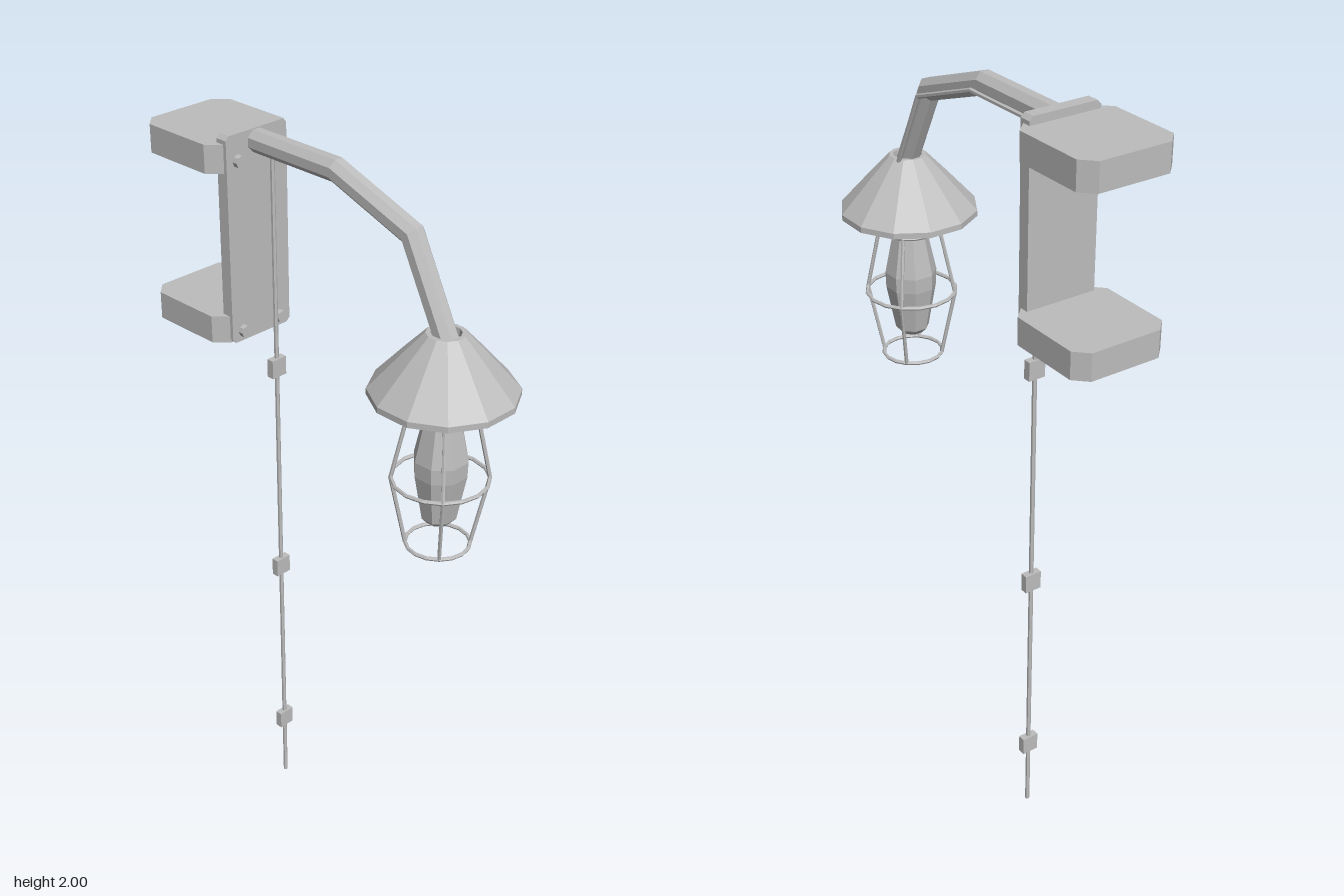
import * as THREE from 'three';

const metal = new THREE.MeshStandardMaterial({ color: 0xbcbcbc });
metal.name = 'plain grey';
metal.flatShading = true;
metal.side = THREE.DoubleSide;

function add(parent, geometry, name, x = 0, y = 0, z = 0) {
  const mesh = new THREE.Mesh(geometry, metal);
  mesh.name = name;
  mesh.position.set(x, y, z);
  parent.add(mesh);
  return mesh;
}

// Sweeps a regular polygon along a bent path of [z, y] points, with mitred corners
function sweep(path, radius, sides) {
  const pts = path.map(([z, y]) => new THREE.Vector2(z, y));
  const pos = [], index = [];
  pts.forEach((p, i) => {
    const a = p.clone().sub(pts[Math.max(i - 1, 0)]).normalize();
    const b = pts[Math.min(i + 1, pts.length - 1)].clone().sub(p).normalize();
    const dir = a.clone().add(b).normalize();
    const mitre = 1 / Math.max(dir.dot(i ? a : b), 0.5);
    for (let k = 0; k < sides; k++) {
      const t = ((k + 0.5) / sides) * Math.PI * 2;
      const across = Math.sin(t) * radius * mitre;
      pos.push(Math.cos(t) * radius, p.y + dir.x * across, p.x - dir.y * across);
    }
  });
  for (let i = 0; i < pts.length - 1; i++) {
    for (let k = 0; k < sides; k++) {
      const a = i * sides + k, b = i * sides + (k + 1) % sides;
      index.push(a, a + sides, b, b, a + sides, b + sides);
    }
  }
  // end caps
  const last = (pts.length - 1) * sides;
  for (let k = 1; k < sides - 1; k++) {
    index.push(0, k, k + 1, last, last + k + 1, last + k);
  }
  const g = new THREE.BufferGeometry();
  g.setAttribute('position', new THREE.Float32BufferAttribute(pos, 3));
  g.setIndex(index);
  g.computeVertexNormals();
  return g;
}

// Rectangular slab with cut corners, extruded along z from 0 to depth
function cutSlab(w, h, depth, cut) {
  const x = w / 2, y = h / 2;
  const outline = [[-x + cut, -y], [x - cut, -y], [x, -y + cut], [x, y - cut],
    [x - cut, y], [-x + cut, y], [-x, y - cut], [-x, -y + cut]];
  const shape = new THREE.Shape(outline.map(([u, v]) => new THREE.Vector2(u, v)));
  return new THREE.ExtrudeGeometry(shape, { depth, bevelEnabled: false });
}

function lathe(profile, sides) {
  const g = new THREE.LatheGeometry(profile.map(([r, y]) => new THREE.Vector2(r, y)), sides);
  return g.rotateY(Math.PI / sides);
}

export function createModel() {
  const model = new THREE.Group();
  model.name = 'wallLamp';

  // Wall bracket: backplate, two clamp blocks and four bolts
  const bracket = new THREE.Group();
  bracket.name = 'bracket';
  model.add(bracket);
  add(bracket, cutSlab(0.19, 0.527, 0.032, 0.01), 'backplate', 0, 1.7365, -0.288);
  for (const y of [1.475, 1.91]) {
    const block = cutSlab(0.254, 0.26, 0.07, 0.033).rotateX(-Math.PI / 2);
    add(bracket, block, 'clampBlock', 0, y, -0.394);
  }
  for (const x of [-0.06, 0.06]) {
    for (const y of [1.5, 1.935]) {
      const bolt = new THREE.CylinderGeometry(0.016, 0.016, 0.016, 8).rotateX(Math.PI / 2);
      add(bracket, bolt, 'bolt', x, y, -0.25);
    }
  }

  // Bent arm
  add(model, sweep([[-0.26, 1.97], [0.01, 1.97], [0.243, 1.888], [0.36, 1.66]], 0.029, 8), 'arm');

  // Cable beside the arm, dropping down the wall, with clips
  add(model, sweep([[0.34, 1.665], [0.235, 1.88], [0.01, 1.96], [-0.247, 1.96], [-0.247, 0]],
    0.006, 6), 'cable', 0.04);
  for (const y of [0.205, 0.75, 1.365]) {
    add(model, new THREE.BoxGeometry(0.046, 0.05, 0.02), 'cableClip', 0.04, y, -0.247);
  }

  // Lamp head, centred on its own axis
  const lamp = new THREE.Group();
  lamp.name = 'lampHead';
  lamp.position.z = 0.352;
  model.add(lamp);
  add(lamp, lathe([[0, 1.672], [0.034, 1.672], [0.036, 1.69], [0.047, 1.69], [0.098, 1.636],
    [0.176, 1.55], [0.176, 1.535], [0.166, 1.535], [0.092, 1.622], [0.043, 1.672],
    [0, 1.672]].reverse(), 12), 'shade');
  add(lamp, new THREE.CylinderGeometry(0.048, 0.048, 0.17, 12), 'socket', 0, 1.585);
  add(lamp, lathe([[0, 1.192], [0.03, 1.195], [0.044, 1.21], [0.066, 1.33], [0.067, 1.37],
    [0.042, 1.49], [0.04, 1.51]], 8), 'bulb');

  // Wire cage: three rings and four bent wires
  const cage = new THREE.Group();
  cage.name = 'cage';
  lamp.add(cage);
  for (const [r, y] of [[0.078, 1.492], [0.116, 1.315], [0.078, 1.135]]) {
    add(cage, new THREE.TorusGeometry(r, 0.005, 6, 16).rotateX(Math.PI / 2), 'cageRing', 0, y);
  }
  for (let i = 0; i < 4; i++) {
    const wire = add(cage, sweep([[0.04, 1.505], [0.078, 1.49], [0.116, 1.315], [0.078, 1.135]],
      0.005, 6), 'cageWire');
    wire.rotation.y = Math.PI / 4 + i * Math.PI / 2;
  }
  return model;
}
